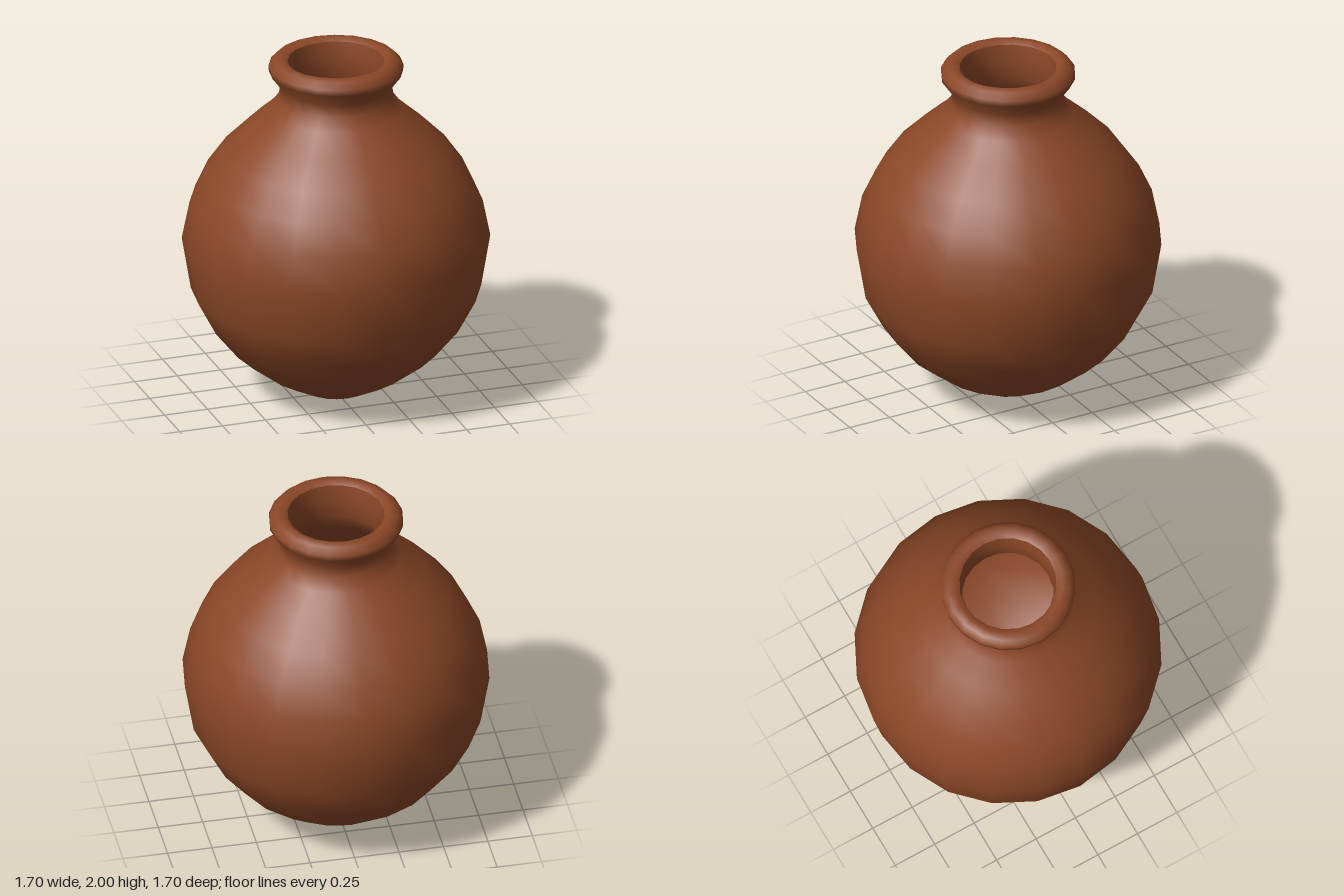
import * as THREE from 'three';

const SIDES = 20;

// Revolve a list of [radius, height] pairs around the y axis
function revolve(name, profile, material) {
  const points = profile.map(([r, y]) => new THREE.Vector2(r, y));
  const mesh = new THREE.Mesh(new THREE.LatheGeometry(points, SIDES), material);
  mesh.name = name;
  return mesh;
}

export function createModel() {
  const group = new THREE.Group();
  group.name = 'clayPot';
  const clay = new THREE.MeshStandardMaterial({ color: 0x8b4727 });
  clay.name = 'terracotta';

  // Round belly, narrow neck and flared lip, from the base up
  const outer = [
    [0, 0], [0.18, 0.03], [0.38, 0.135], [0.57, 0.28], [0.7, 0.44],
    [0.8, 0.63], [0.85, 0.93], [0.808, 1.14], [0.735, 1.3], [0.63, 1.45],
    [0.49, 1.59], [0.365, 1.7], [0.315, 1.77], [0.31, 1.84],
    [0.37, 1.92], [0.372, 1.955], [0.34, 1.99], [0.3, 2], [0.268, 1.98],
  ];
  group.add(revolve('outerWall', outer, clay));

  // Hollow inside, from the mouth down to the floor
  const inner = [
    [0.268, 1.98], [0.255, 1.9], [0.255, 1.78], [0.31, 1.67], [0.44, 1.55],
    [0.58, 1.41], [0.68, 1.27], [0.75, 1.12], [0.79, 0.93], [0.745, 0.65],
    [0.65, 0.47], [0.53, 0.33], [0.35, 0.19], [0.17, 0.09], [0, 0.06],
  ];
  group.add(revolve('innerWall', inner, clay));

  return group;
}
